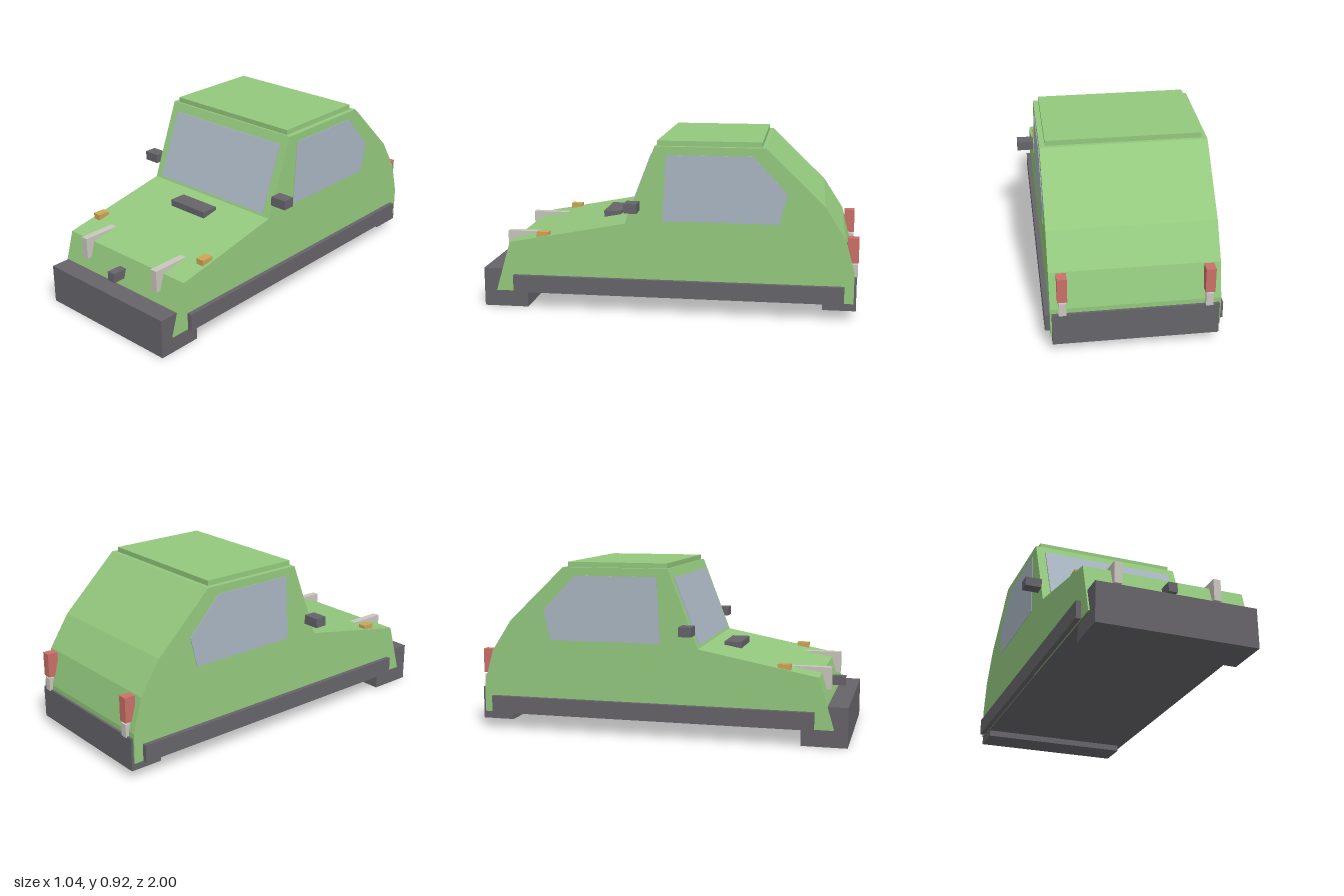
import * as THREE from 'three';

const mat = (name, color) => {
  const m = new THREE.MeshStandardMaterial({ color });
  m.name = name;
  return m;
};

export function createModel() {
  const green = mat('green paint', 0x94c97e);
  const grey = mat('dark grey plastic', 0x66646a);
  const glass = mat('blue grey glass', 0xa9b6c2);
  const red = mat('red lamp', 0xcb7068);
  const beige = mat('pale grey trim', 0xcac6be);
  const amber = mat('amber lamp', 0xcca656);
  const car = new THREE.Group();
  car.name = 'car';

  const add = (name, geometry, material) => {
    const mesh = new THREE.Mesh(geometry, material);
    mesh.name = name;
    car.add(mesh);
    return mesh;
  };
  // Box given by its extents along each axis
  const box = (name, material, [x0, x1], [y0, y1], [z0, z1]) =>
    add(name, new THREE.BoxGeometry(x1 - x0, y1 - y0, z1 - z0), material)
      .position.set((x0 + x1) / 2, (y0 + y1) / 2, (z0 + z1) / 2);
  // Side profile of [z, y] points, extruded across the car from x0 to x1
  const profile = (name, material, points, x0, x1) => {
    const shape = new THREE.Shape(points.map(([z, y]) => new THREE.Vector2(-z, y)));
    const g = new THREE.ExtrudeGeometry(shape, { depth: x1 - x0, bevelEnabled: false });
    g.rotateY(Math.PI / 2).translate(x0, 0, 0);
    return add(name, g, material);
  };

  // Body shell with raised roof panel and dark floor
  profile('body', green, [
    [0.93, 0.09], [0.85, 0.36], [0.22, 0.48], [0.06, 0.893], [-0.515, 0.893],
    [-0.82, 0.6], [-0.93, 0.43], [-0.98, 0.25], [-0.98, 0.09],
  ], -0.423, 0.423);
  box('roofPanel', green, [-0.395, 0.395], [0.88, 0.92], [-0.495, 0.05]);
  box('floor', grey, [-0.418, 0.418], [0.084, 0.092], [-0.975, 0.92]);

  // Windscreen plate lying on the sloping front pillar line
  const slopeZ = (y) => 0.22 - (y - 0.48) * (0.16 / 0.413);
  profile('windscreen', glass, [
    [slopeZ(0.495), 0.495], [slopeZ(0.495) + 0.008, 0.497],
    [slopeZ(0.845) + 0.008, 0.847], [slopeZ(0.845), 0.845],
  ], -0.375, 0.375);

  // Bumpers and bonnet parts
  box('frontBumper', grey, [-0.415, 0.415], [0, 0.21], [0.76, 1]);
  box('rearBumper', grey, [-0.415, 0.415], [0.05, 0.225], [-0.993, -0.82]);
  box('bonnetVent', grey, [-0.125, 0.12], [0.43, 0.482], [0.3, 0.395]);
  box('noseBlock', grey, [-0.025, 0.022], [0.25, 0.3], [0.86, 0.95]);

  // Paired parts on both sides
  for (const s of [-1, 1]) {
    const side = s > 0 ? 'left' : 'right';
    const span = (a, b) => (s > 0 ? [a, b] : [-b, -a]);
    profile(side + 'Window', glass, [
      [0.02, 0.5], [0, 0.85], [-0.45, 0.85], [-0.63, 0.66], [-0.59, 0.5],
    ], ...span(0.42, 0.426));
    box(side + 'Sill', grey, span(0.42, 0.448), [0.09, 0.182], [-0.93, 0.83]);
    box(side + 'Mirror', grey, span(0.428, 0.518), [0.555, 0.605], [0.14, 0.208]);
    box(side + 'Indicator', amber, span(0.367, 0.411), [0.38, 0.419], [0.637, 0.703]);
    // Wedge bracket running from the bonnet down the nose
    profile(side + 'NoseBracket', beige, [
      [0.9, 0.39], [0.69, 0.39], [0.85, 0.358], [0.875, 0.274], [0.9, 0.274],
    ], ...span(0.242, 0.281));
    box(side + 'TailLamp', red, span(0.338, 0.387), [0.3, 0.432], [-1, -0.942]);
    box(side + 'TailLampFoot', beige, span(0.344, 0.381), [0.22, 0.29], [-0.998, -0.95]);
  }
  return car;
}
